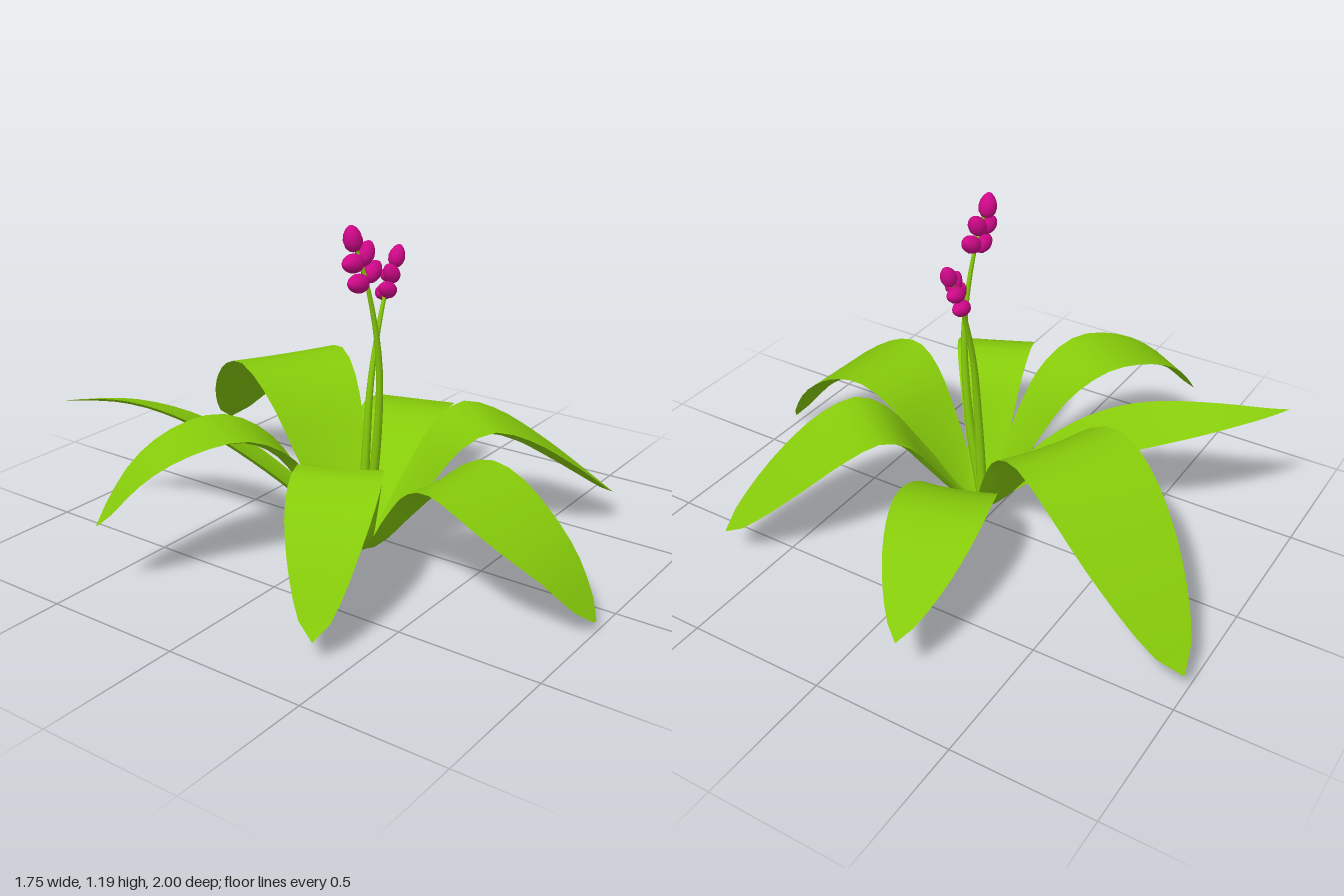
import * as THREE from 'three';

const leafGreen = new THREE.MeshStandardMaterial({ color: 0x86cb0a, side: THREE.DoubleSide });
leafGreen.name = 'leafGreen';
const budMagenta = new THREE.MeshStandardMaterial({ color: 0xce0888 });
budMagenta.name = 'budMagenta';

const ROOT = new THREE.Vector3(-0.1, 0, 0.07);

// One face of a blade: a grid of points turned into a smooth surface
function gridMesh(name, rows, cols, point, flip) {
  const pos = [], index = [];
  for (let i = 0; i <= rows; i++) {
    for (let j = 0; j <= cols; j++) {
      pos.push(...point(i / rows, (j / cols) * 2 - 1));
      if (i === rows || j === cols) continue;
      const a = i * (cols + 1) + j, b = a + cols + 1;
      if (flip) index.push(a, a + 1, b, b, a + 1, b + 1);
      else index.push(a, b, a + 1, b, b + 1, a + 1);
    }
  }
  const geo = new THREE.BufferGeometry();
  geo.setAttribute('position', new THREE.Float32BufferAttribute(pos, 3));
  geo.setIndex(index);
  geo.computeVertexNormals();
  const mesh = new THREE.Mesh(geo, leafGreen);
  mesh.name = name;
  return mesh;
}

// An arching fleshy leaf from the root to a tip (x, z): flat on top, bulging below.
// arch lists [distance, height] along the spine after the shared foot; skew and taper shape
// the outline, bend curves the spine sideways and roll tips the blade across its width.
function makeLeaf({ name, tip, width, arch, bend = 0, roll = 0, skew = 1.09, taper = 0.6 }) {
  const dir = new THREE.Vector2(tip[0] - ROOT.x, tip[1] - ROOT.z);
  const length = dir.length();
  dir.normalize();
  const profile = [[0, 0.005], [0.06, 0.05], ...arch];
  const spine = new THREE.CatmullRomCurve3(profile.map(([r, y]) => new THREE.Vector3(r, y, 0)));

  const surface = (bulge) => (u, k) => {
    const p = spine.getPointAt(u);
    const tangent = spine.getTangentAt(u);
    const t = THREE.MathUtils.clamp(p.x / length, 0, 1);
    const half = width * Math.pow(Math.max(0, Math.sin(Math.PI * Math.pow(t, skew))), taper);
    const across = k * half + bend * Math.sin(Math.PI * t * t);
    const depth = half * (1 - k * k) * (bulge + 0.15 * (1 - t) ** 3);
    const r = p.x + tangent.y * depth;
    const y = p.y - tangent.x * depth + roll * k * half;
    return [ROOT.x + dir.x * r + dir.y * across, Math.max(0, y), ROOT.z + dir.y * r - dir.x * across];
  };

  const leaf = new THREE.Group();
  leaf.name = name;
  leaf.add(gridMesh('leafTop', 20, 8, surface(0), false), gridMesh('leafUnderside', 20, 8, surface(0.25), true));
  return leaf;
}

// Tapered stalk following a curve
function makeStalk(name, points) {
  const curve = new THREE.CatmullRomCurve3(points.map((p) => new THREE.Vector3(...p)));
  const segs = 20, sides = 8;
  const geo = new THREE.TubeGeometry(curve, segs, 1, sides);
  const pos = geo.attributes.position;
  const v = new THREE.Vector3();
  for (let i = 0; i <= segs; i++) {
    const centre = curve.getPointAt(i / segs);
    const radius = THREE.MathUtils.lerp(0.021, 0.005, i / segs);
    for (let j = 0; j <= sides; j++) {
      const n = i * (sides + 1) + j;
      v.fromBufferAttribute(pos, n).sub(centre).multiplyScalar(radius).add(centre);
      pos.setXYZ(n, v.x, v.y, v.z);
    }
  }
  const mesh = new THREE.Mesh(geo, leafGreen);
  mesh.name = name;
  return mesh;
}

// Egg-shaped bud, wider at its lower end
const budGeo = new THREE.LatheGeometry(
  [[0, -0.5], [0.2, -0.45], [0.32, -0.28], [0.36, -0.06], [0.31, 0.18], [0.2, 0.37], [0.09, 0.47], [0, 0.5]]
    .map(([x, y]) => new THREE.Vector2(x, y)), 12);

// Buds given as [x, y, z, angle of the long axis in degrees]
function makeBuds(name, size, list) {
  const group = new THREE.Group();
  group.name = name;
  for (const [x, y, z, angle] of list) {
    const bud = new THREE.Mesh(budGeo, budMagenta);
    bud.name = 'bud';
    bud.position.set(x, y, z);
    bud.rotation.z = THREE.MathUtils.degToRad(angle - 90);
    bud.scale.setScalar(size);
    group.add(bud);
  }
  return group;
}

const LEAVES = [
  { name: 'frontLeaf', tip: [-0.15, 1.0], width: 0.188, bend: -0.08, skew: 1.3,
    arch: [[0.2, 0.23], [0.33, 0.37], [0.45, 0.42], [0.6, 0.385], [0.8, 0.24], [0.93, 0.045]] },
  { name: 'frontLeftLeaf', tip: [0.65, 0.67], width: 0.168, skew: 1.15,
    arch: [[0.2, 0.25], [0.32, 0.41], [0.42, 0.46], [0.55, 0.42], [0.73, 0.3], [0.96, 0.11]] },
  { name: 'leftLeaf', tip: [0.87, -0.22], width: 0.163, skew: 1, taper: 0.75,
    arch: [[0.2, 0.19], [0.35, 0.31], [0.5, 0.36], [0.65, 0.34], [1.012, 0.19]] },
  { name: 'backLeftLeaf', tip: [0.44, -1.0], width: 0.21,
    arch: [[0.2, 0.25], [0.38, 0.48], [0.54, 0.56], [0.7, 0.52], [0.95, 0.34], [1.198, 0.1]] },
  { name: 'backRightLeaf', tip: [-0.57, -0.91], width: 0.11, bend: -0.07, roll: 0.3, skew: 0.8, taper: 1,
    arch: [[0.2, 0.2], [0.4, 0.34], [0.6, 0.43], [0.85, 0.485], [1.087, 0.49]] },
  { name: 'rightLeaf', tip: [-0.88, -0.42], width: 0.137,
    arch: [[0.17, 0.26], [0.3, 0.45], [0.45, 0.53], [0.62, 0.51], [0.77, 0.43], [0.92, 0.26]] },
  { name: 'frontRightLeaf', tip: [-0.81, 0.4], width: 0.146, skew: 1.22,
    arch: [[0.16, 0.25], [0.26, 0.41], [0.36, 0.465], [0.48, 0.43], [0.61, 0.33], [0.783, 0.08]] },
];

export function createModel() {
  const model = new THREE.Group();
  model.name = 'floweringPlant';

  // Leaf rosette
  const rosette = new THREE.Group();
  rosette.name = 'rosette';
  for (const leaf of LEAVES) rosette.add(makeLeaf(leaf));
  model.add(rosette);

  // Two flower spikes
  model.add(
    makeStalk('tallStalk', [[-0.1, 0.02, 0.07], [-0.105, 0.35, 0.13], [-0.13, 0.72, 0.163], [-0.18, 0.99, 0.152], [-0.22, 1.14, 0.13]]),
    makeBuds('tallFlower', 0.09, [
      [-0.225, 1.155, 0.125, 103], [-0.17, 1.098, 0.135, 50], [-0.24, 1.077, 0.135, 175],
      [-0.145, 1.035, 0.145, 30], [-0.225, 1.01, 0.145, 172],
    ]),
    makeStalk('shortStalk', [[-0.1, 0.02, 0.07], [-0.085, 0.4, 0.08], [-0.055, 0.63, 0.078], [0.005, 0.84, 0.075], [0.045, 0.94, 0.075], [0.085, 1.02, 0.08]]),
    makeBuds('shortFlower', 0.08, [
      [0.088, 1.03, 0.083, 65], [0.036, 0.983, 0.095, 130], [0.085, 0.966, 0.058, 10],
      [0.008, 0.932, 0.098, 155], [0.062, 0.907, 0.052, 8],
    ])
  );
  return model;
}
